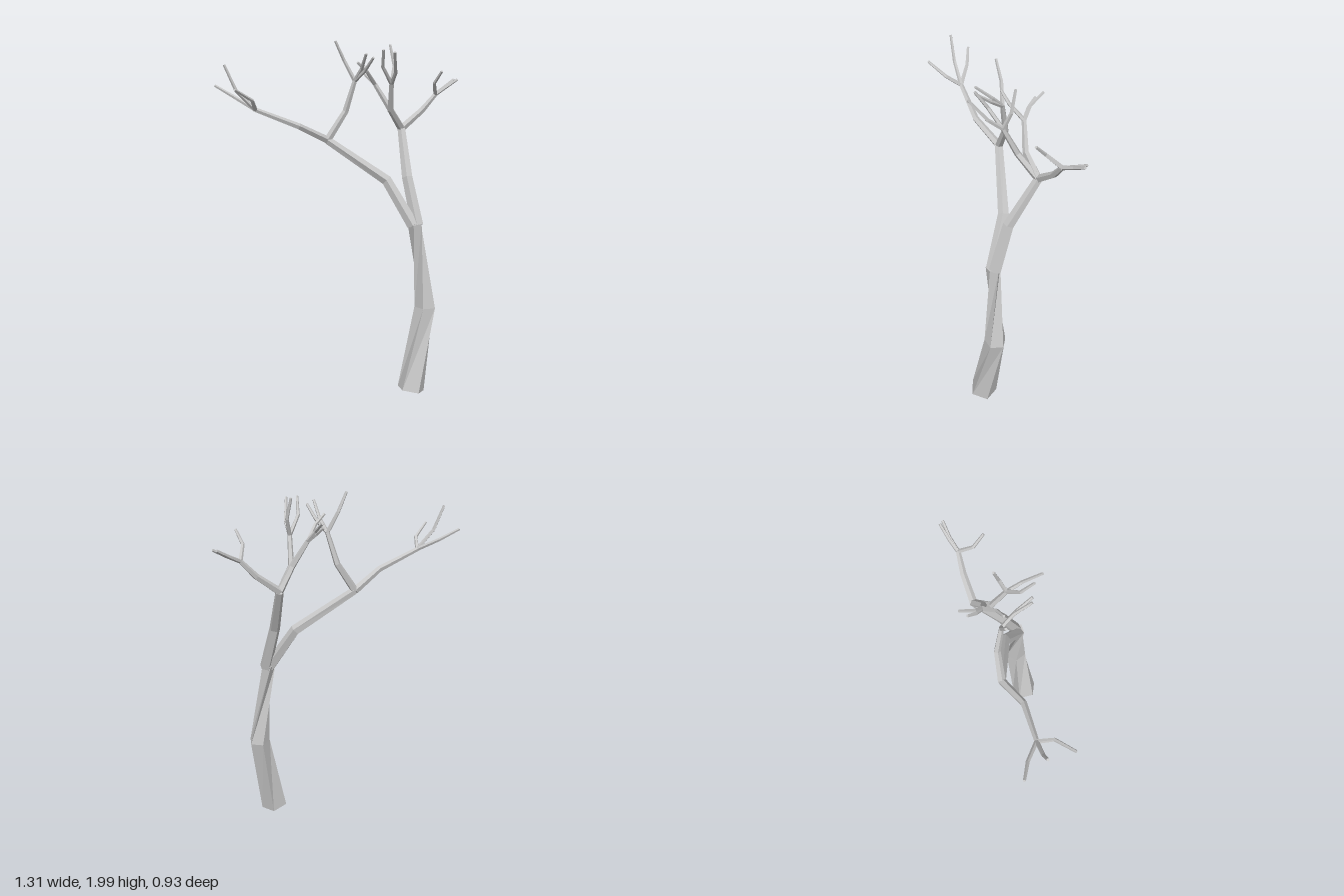
import * as THREE from 'three';

const SIDES = 5;

// Faceted limb: a five-sided tube through points [x, y, z, radius], capped at both ends.
// twist holds the starting angle (degrees) of each ring.
function limbGeometry(points, twist) {
  const centres = points.map(p => new THREE.Vector3(p[0], p[1], p[2]));
  const last = centres.length - 1;
  const span = centres[last].clone().sub(centres[0]).normalize();
  const sideways = Math.abs(span.x) > 0.75;
  const pos = [];
  const index = [];
  centres.forEach((c, i) => {
    const t = new THREE.Vector3();
    if (i > 0) t.add(c.clone().sub(centres[i - 1]).normalize());
    if (i < last) t.add(centres[i + 1].clone().sub(c).normalize());
    t.normalize();
    const u = sideways ? new THREE.Vector3(0, 0, 1) : new THREE.Vector3(1, 0, 0);
    u.addScaledVector(t, -u.dot(t)).normalize();
    const v = u.clone().cross(t);
    for (let k = 0; k < SIDES; k++) {
      const a = (k / SIDES) * Math.PI * 2 + THREE.MathUtils.degToRad(twist ? twist[i] : 0);
      const r = points[i][3];
      const p = c.clone().addScaledVector(u, r * Math.cos(a)).addScaledVector(v, r * Math.sin(a));
      pos.push(p.x, p.y, p.z);
    }
  });
  for (let i = 0; i < last; i++) {
    for (let k = 0; k < SIDES; k++) {
      const a = i * SIDES + k;
      const b = i * SIDES + (k + 1) % SIDES;
      index.push(a, a + SIDES, b, b, a + SIDES, b + SIDES);
    }
  }
  const top = last * SIDES;
  for (let k = 1; k < SIDES - 1; k++) {
    index.push(0, k, k + 1);
    index.push(top, top + k + 1, top + k);
  }
  const g = new THREE.BufferGeometry();
  g.setAttribute('position', new THREE.Float32BufferAttribute(pos, 3));
  g.setIndex(index);
  const flat = g.toNonIndexed();
  flat.computeVertexNormals();
  return flat;
}

export function createModel() {
  const tree = new THREE.Group();
  tree.name = 'bareTree';
  const bark = new THREE.MeshStandardMaterial({ color: 0xc6c6c6 });
  bark.name = 'paleGreyBark';

  const addLimb = (name, points, radii, twist) => {
    const mesh = new THREE.Mesh(limbGeometry(points.map((p, i) => [...p, radii[i]]), twist), bark);
    mesh.name = name;
    tree.add(mesh);
  };

  // Trunk, twisting as it rises
  addLimb('trunk', [[0.115, 0.02, 0.385], [0.22, 0.5, 0.4], [0.175, 0.99, 0.35]],
    [0.08, 0.063, 0.042], [36, 10, -62]);

  // Two main forks
  const rightFork = [-0.085, 1.45, -0.08];
  const leftFork = [0.31, 1.5, 0.135];
  const forkRadii = [0.035, 0.031, 0.023];
  addLimb('rightMainBranch', [[0.165, 0.98, 0.345], [0.125, 1.225, 0.18], rightFork], forkRadii);
  addLimb('leftMainBranch', [[0.19, 0.98, 0.355], [0.212, 1.24, 0.26], leftFork], forkRadii);

  // Boughs: start, knee, tip, then twigs as [knee, end]
  const boughs = [
    { name: 'rightOuter', from: rightFork, knee: [-0.27, 1.54, -0.12], tip: [-0.465, 1.635, -0.25], twigs: [
      [[-0.51, 1.7, -0.37], [-0.567, 1.76, -0.46]],
      [[-0.55, 1.74, -0.305], [-0.597, 1.875, -0.34]],
      [[-0.53, 1.69, -0.2], [-0.653, 1.753, -0.193]]] },
    { name: 'rightInner', from: rightFork, knee: [0, 1.61, -0.02], tip: [0.018, 1.78, 0.033], twigs: [
      [[-0.02, 1.89, -0.012], [-0.068, 1.995, -0.033]],
      [[0.0, 1.85, 0.1], [-0.05, 1.93, 0.175]],
      [[0.005, 1.84, 0.12], [-0.026, 1.91, 0.205]]] },
    { name: 'leftOuter', from: leftFork, knee: [0.43, 1.6, 0.19], tip: [0.5, 1.69, 0.233], twigs: [
      [[0.565, 1.723, 0.24], [0.645, 1.77, 0.256]],
      [[0.575, 1.727, 0.25], [0.648, 1.77, 0.28]],
      [[0.43, 1.76, 0.275], [0.414, 1.828, 0.337]]] },
    { name: 'leftBack', from: leftFork, knee: [0.22, 1.62, 0.12], tip: [0.165, 1.755, 0.055], twigs: [
      [[0.165, 1.815, 0], [0.2, 1.87, -0.07]],
      [[0.155, 1.8, 0], [0.163, 1.84, -0.052]],
      [[0.08, 1.83, 0.067], [0.02, 1.88, 0.05]]] },
    { name: 'leftFront', from: leftFork, knee: [0.19, 1.615, 0.15], tip: [0.135, 1.765, 0.2], twigs: [
      [[0.175, 1.86, 0.185], [0.177, 1.975, 0.152]],
      [[0.05, 1.86, 0.207], [0.003, 1.952, 0.25]],
      [[0.09, 1.83, 0.265], [0.012, 1.94, 0.32]]] },
  ];
  for (const b of boughs) {
    addLimb(b.name + 'Bough', [b.from, b.knee, b.tip], [0.022, 0.018, 0.013]);
    b.twigs.forEach(([knee, end], i) =>
      addLimb(b.name + 'Twig' + (i + 1), [b.tip, knee, end], [0.012, 0.01, 0.0075]));
  }
  return tree;
}
